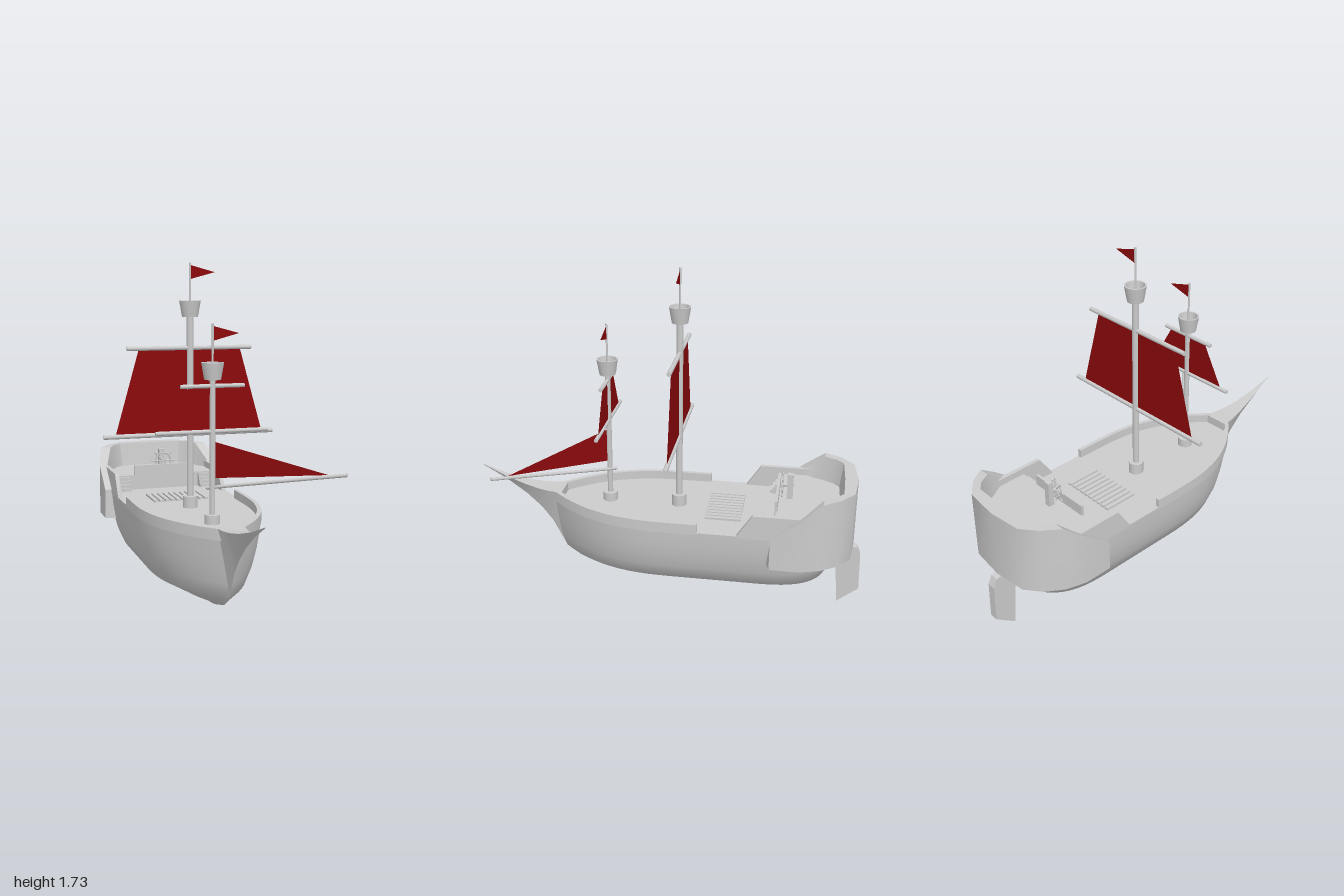
import * as THREE from 'three';
import { toCreasedNormals } from 'three/addons/utils/BufferGeometryUtils.js';

const grey = new THREE.MeshStandardMaterial({ color: 0xcccccc, side: THREE.DoubleSide });
const red = new THREE.MeshStandardMaterial({ color: 0x8c0a0c, side: THREE.DoubleSide });
const DECK = 0.49, POOP = 0.57;

function add(parent, name, geo, x = 0, y = 0, z = 0, mat = grey) {
  const m = new THREE.Mesh(geo, mat);
  m.name = name;
  m.position.set(x, y, z);
  parent.add(m);
  return m;
}

// Skin over closed rings of [x, y, z] points, with optional end caps
function loft(rings, capped = false, crease = 0.6) {
  const n = rings[0].length, pos = rings.flat(2), idx = [];
  for (let r = 0; r < rings.length - 1; r++) {
    for (let i = 0; i < n; i++) {
      const a = r * n + i, b = r * n + (i + 1) % n;
      idx.push(a, b, b + n, a, b + n, a + n);
    }
  }
  if (capped) {
    const e = (rings.length - 1) * n;
    for (let i = 1; i < n - 1; i++) idx.push(0, i + 1, i, e, e + i, e + i + 1);
  }
  const g = new THREE.BufferGeometry();
  g.setAttribute('position', new THREE.Float32BufferAttribute(pos, 3));
  g.setIndex(idx);
  return toCreasedNormals(g, crease);
}

// Half width of the hull at z, for a level with its own stem and stern
const MID = -0.05, AFT = -0.45;
function halfWidth(z, hw, stem, stern) {
  if (z > MID) return hw * (1 - Math.pow(1 - (stem - z) / (stem - MID), 2.6));
  if (z < AFT) return hw * Math.sqrt(Math.max(0, 1 - Math.pow((AFT - z) / (AFT - stern), 3)));
  return hw;
}

function waterline([y, hw, stem, stern]) {
  const zs = [];
  for (let i = 0; i <= 16; i++) zs.push(stem - (stem - MID) * (i / 16) ** 1.7);
  for (let i = 0; i <= 14; i++) zs.push(AFT - (AFT - stern) * Math.sin(i / 14 * Math.PI / 2));
  const half = zs.map(z => [halfWidth(z, hw, stem, stern), y, z]);
  return [...half, ...half.slice(1, -1).reverse().map(([x, yy, z]) => [-x, yy, z])];
}

const mirrorPath = half => [...half, ...half.slice(0, -1).reverse().map(p => p.map(([x, z]) => [-x, z]))];

// Wall along a path of [outer, inner] plan points, with its top height set by z
const wall = (path, bottom, top, inset = 1) => loft(path.map(([o, i]) => [
  [o[0], bottom, o[1]], [o[0], top(o[1]), o[1]], [i[0], top(o[1]), i[1]], [i[0] * inset, bottom, i[1] * (inset < 1 ? 0.95 : 1)],
]), true);

function rod(parent, name, a, b, r) {
  const A = new THREE.Vector3(...a), B = new THREE.Vector3(...b);
  const m = add(parent, name, new THREE.CylinderGeometry(r, r, A.distanceTo(B), 12));
  m.position.copy(A).lerp(B, 0.5);
  m.quaternion.setFromUnitVectors(new THREE.Vector3(0, 1, 0), B.sub(A).normalize());
  return m;
}

function sheet(parent, name, points) {
  const g = new THREE.BufferGeometry();
  g.setAttribute('position', new THREE.Float32BufferAttribute(points.flat(), 3));
  g.setIndex(points.length === 4 ? [0, 1, 2, 0, 2, 3] : [0, 1, 2]);
  g.computeVertexNormals();
  add(parent, name, g, 0, 0, 0, red);
}

const shapeOf = pts => new THREE.Shape(pts.map(p => new THREE.Vector2(...p)));

// Mast with collar, lookout basket, flag pole, pennant, two yards and a square sail
function mast(name, { z, r, collar, nest, pole, yards, sail }) {
  const g = new THREE.Group();
  g.name = name;
  g.position.z = z;
  add(g, 'mastCollar', new THREE.CylinderGeometry(0.038, 0.038, collar - DECK, 20), 0, (collar + DECK) / 2);
  rod(g, 'mastPole', [0, DECK, 0], [0, nest + 0.01, 0], r);
  const basket = [[0, 0], [0.04, 0], [0.054, 0.08], [0.046, 0.08], [0.035, 0.012], [0, 0.012]];
  add(g, 'crowsNest', toCreasedNormals(new THREE.LatheGeometry(basket.map(p => new THREE.Vector2(...p)), 20), 0.6), 0, nest);
  rod(g, 'flagPole', [0, nest, 0], [0, pole, 0], 0.005);
  sheet(g, 'pennant', [[0, pole - 0.01, 0], [0, pole - 0.08, 0], [0.13, pole - 0.045, 0]]);
  for (const [y, half, yr] of yards) rod(g, 'yard', [-half, y, 0], [half, y, 0], yr);
  const [top, bottom] = sail, yt = yards[0][0], yb = yards[1][0];
  sheet(g, 'squareSail', [[-top, yt, 0], [-bottom, yb, 0], [bottom, yb, 0], [top, yt, 0]]);
  return g;
}

export function createModel() {
  const ship = new THREE.Group();
  ship.name = 'sailingShip';
  ship.position.x = -0.016;

  // Hull: waterlines [y, half width, stem z, stern z] from keel to deck
  const levels = [
    [0.085, 0, 0.17, -0.62], [0.1, 0.04, 0.35, -0.68], [0.14, 0.135, 0.49, -0.75],
    [0.19, 0.232, 0.56, -0.82], [0.27, 0.268, 0.59, -0.86], [0.35, 0.289, 0.61, -0.89],
    [0.42, 0.3, 0.625, -0.91], [DECK, 0.306, 0.64, -0.92], [DECK, 0, 0.64, -0.92],
  ];
  add(ship, 'hull', loft(levels.map(waterline), false, 0.7));

  // Bulwarks: one around the bow, one each side aft of the gangway gap
  const bow = [];
  for (let i = 0; i <= 18; i++) {
    const t = (i / 18) ** 1.7, zo = 0.65 - 0.835 * t, zi = 0.62 - 0.805 * t;
    bow.unshift([[halfWidth(zo, 0.307, 0.65, -0.92), zo], [halfWidth(zi, 0.286, 0.62, -0.92), zi]]);
  }
  add(ship, 'bowBulwark', wall(mirrorPath(bow), DECK - 0.01, () => 0.535));
  for (const s of [1, -1]) {
    const side = [-0.38, -0.455, -0.6, -0.72].map(z => [[s * 0.306, z], [s * 0.284, z]]);
    add(ship, 'aftBulwark', wall(side, DECK - 0.01, z => z > -0.4 ? DECK : 0.605));
  }

  // Beak: V-shaped sections running out to a point
  const beak = [[0.56, 0.535, 0.19, 0.07], [0.63, 0.535, 0.33, 0.058], [0.69, 0.54, 0.41, 0.047], [0.77, 0.555, 0.485, 0.033],
    [0.88, 0.588, 0.565, 0.017], [1, 0.637, 0.633, 0.001]];
  add(ship, 'beak', loft(beak.map(([z, top, low, w]) => [[-w, top, z], [w, top, z], [0, low, z]]), true));

  // Raised stern wall wrapping around the back
  const stern = [
    [[0.342, -0.545], [0.295, -0.545]], [[0.342, -0.69], [0.295, -0.7]], [[0.312, -0.79], [0.257, -0.79]],
    [[0.255, -0.875], [0.222, -0.85]], [[0.175, -0.938], [0.18, -0.885]], [[0, -0.957], [0, -0.89]],
  ];
  add(ship, 'sternWall', wall(mirrorPath(stern), 0.34, z => Math.min(0.7, 0.5 + (-0.545 - z) * 0.8), 0.85));

  // Quarterdeck with front rail and stairs
  const plan = [[0.295, 0.56], [0.295, 0.7], [0.265, 0.79], [0.23, 0.855], [0.18, 0.895]];
  const deck = new THREE.ExtrudeGeometry(shapeOf([...plan, ...plan.slice().reverse().map(([x, z]) => [-x, z])]),
    { depth: POOP - DECK, bevelEnabled: false });
  add(ship, 'quarterdeck', deck.rotateX(-Math.PI / 2), 0, DECK);
  add(ship, 'quarterdeckRail', new THREE.BoxGeometry(0.345, 0.135, 0.014), 0, 0.558, -0.56);
  for (const s of [1, -1]) {
    for (let i = 0; i < 4; i++) {
      const h = 0.018 * (i + 1);
      add(ship, 'stairStep', new THREE.BoxGeometry(0.065, h, 0.0125), s * 0.232, DECK + h / 2, -0.516 - i * 0.0125);
    }
  }

  // Steering wheel with stand
  const wheel = new THREE.Group();
  wheel.name = 'steeringWheel';
  wheel.position.set(0, 0.642, -0.582);
  add(wheel, 'wheelRim', new THREE.TorusGeometry(0.044, 0.004, 6, 24));
  for (let i = 0; i < 4; i++) {
    const a = i * Math.PI / 4, c = 0.066 * Math.cos(a), s = 0.066 * Math.sin(a);
    rod(wheel, 'wheelSpoke', [-c, -s, 0], [c, s, 0], 0.0035);
  }
  rod(wheel, 'wheelHub', [0, 0, 0.008], [0, 0, -0.03], 0.01);
  ship.add(wheel);
  add(ship, 'wheelStand', new THREE.BoxGeometry(0.03, 0.135, 0.03), 0, 0.635, -0.62);

  // Hatch grating
  for (let i = 0; i < 10; i++) {
    add(ship, 'hatchBar', new THREE.BoxGeometry(0.021, 0.012, 0.18), (i - 4.5) * 0.031, DECK + 0.005, -0.295);
  }

  // Rudder
  const blade = new THREE.ExtrudeGeometry(shapeOf([[-0.893, 0], [-1, 0.085], [-0.995, 0.28], [-0.975, 0.325],
    [-0.91, 0.337], [-0.866, 0.31]]), { depth: 0.044, bevelEnabled: false });
  add(ship, 'rudder', blade.translate(0, 0, -0.022).rotateY(-Math.PI / 2));

  // Masts
  ship.add(mast('mainMast', { z: -0.052, r: 0.017, collar: 0.55, nest: 1.462, pole: 1.728,
    yards: [[1.308, 0.325, 0.011], [0.872, 0.447, 0.012]], sail: [0.264, 0.388] }));
  ship.add(mast('foreMast', { z: 0.312, r: 0.014, collar: 0.535, nest: 1.18, pole: 1.44,
    yards: [[1.15, 0.157, 0.01], [0.935, 0.278, 0.01]], sail: [0.115, 0.236] }));

  // Swung-out boom with triangular sail
  rod(ship, 'boom', [-0.02, 0.658, 0.28], [0.473, 0.785, 0.783], 0.008);
  sheet(ship, 'boomSail', [[0.012, 0.885, 0.322], [0.012, 0.712, 0.322], [0.411, 0.778, 0.72]]);

  return ship;
}
